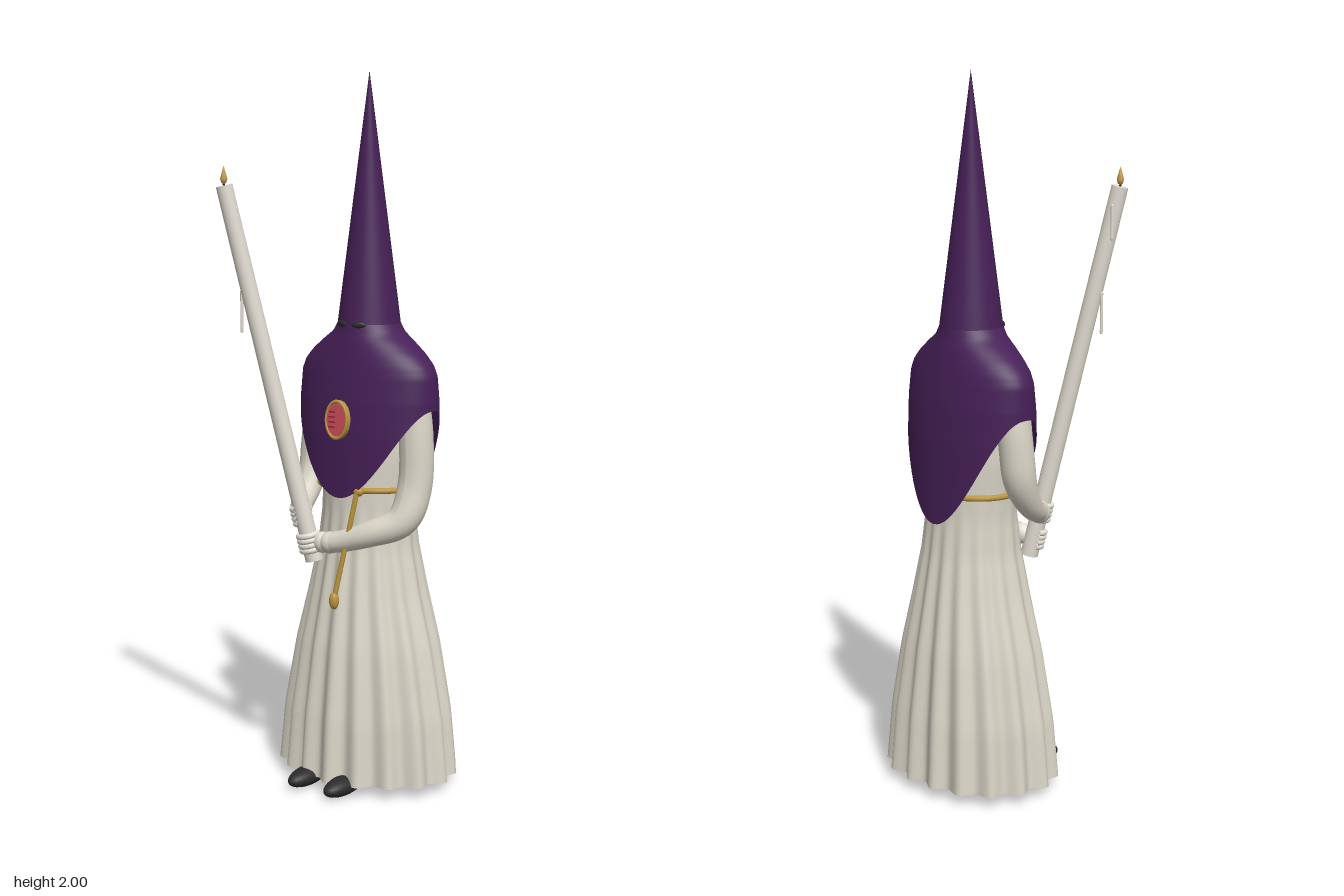
import * as THREE from 'three';

const mat = (name, color, double = false) => {
  const m = new THREE.MeshStandardMaterial({ color });
  m.name = name;
  if (double) m.side = THREE.DoubleSide;
  return m;
};
const V = (x, y, z) => new THREE.Vector3(x, y, z);
const CZ = -0.055; // depth of the body axis

// Closed loft around the body axis: fn(angle, row) gives [x, y, z], rows run upwards
function loft(cols, rows, fn) {
  const pos = [], idx = [];
  for (let j = 0; j <= rows; j++) {
    for (let i = 0; i < cols; i++) pos.push(...fn((i / cols) * Math.PI * 2, j / rows));
  }
  for (let j = 0; j < rows; j++) {
    for (let i = 0; i < cols; i++) {
      const k = (i + 1) % cols;
      const a = j * cols + i, b = j * cols + k, c = b + cols, d = a + cols;
      idx.push(a, b, c, a, c, d);
    }
  }
  const g = new THREE.BufferGeometry();
  g.setAttribute('position', new THREE.Float32BufferAttribute(pos, 3));
  g.setIndex(idx);
  g.computeVertexNormals();
  return g;
}

// Linear lookup in a table of [y, rx, rz], ordered upwards
function profile(table, y) {
  let n = 1;
  while (n < table.length - 1 && table[n][0] < y) n++;
  const [a, b] = [table[n - 1], table[n]];
  const t = THREE.MathUtils.clamp((y - a[0]) / (b[0] - a[0]), 0, 1);
  return [a[1] + (b[1] - a[1]) * t, a[2] + (b[2] - a[2]) * t];
}

// Tube whose radius follows a rule along its length
function taperTube(points, radius, steps = 40, sides = 20) {
  const curve = new THREE.CatmullRomCurve3(points);
  const g = new THREE.TubeGeometry(curve, steps, 1, sides);
  const p = g.attributes.position, v = V(0, 0, 0);
  for (let i = 0; i < p.count; i++) {
    const t = Math.floor(i / (sides + 1)) / steps;
    const c = curve.getPointAt(t);
    v.fromBufferAttribute(p, i).sub(c).multiplyScalar(radius(t)).add(c);
    p.setXYZ(i, v.x, v.y, v.z);
  }
  g.computeVertexNormals();
  return g;
}

export function createModel() {
  const root = new THREE.Group();
  root.name = 'hoodedFigure';
  const cloth = mat('robeCloth', 0xd9d4c6, true);
  const purple = mat('purpleCloth', 0x472058, true);
  const wax = mat('wax', 0xe2ddd2);
  const glove = mat('gloveWhite', 0xe4e0d6);
  const gold = mat('goldCord', 0xb9953f);
  const black = mat('black', 0x2b2b2d);
  const red = mat('red', 0xd2505c);
  const darkRed = mat('darkRed', 0x8e2636);
  const flameTan = mat('flame', 0xc99a4e);

  const add = (name, geo, material, at = [0, 0, 0], scale = [1, 1, 1], parent = root) => {
    const m = new THREE.Mesh(geo, material);
    m.name = name;
    m.position.set(...at);
    m.scale.set(...scale);
    parent.add(m);
    return m;
  };
  const ball = new THREE.SphereGeometry(1, 28, 18);

  // Robe with flutes that deepen towards the hem
  const robe = [[0.03, 0.266, 0.207], [0.2, 0.25, 0.197], [0.4, 0.212, 0.176], [0.55, 0.173, 0.153],
    [0.68, 0.146, 0.132], [0.78, 0.138, 0.12], [0.85, 0.14, 0.116], [0.95, 0.15, 0.112], [1.18, 0.15, 0.09]];
  add('robe', loft(180, 46, (a, v) => {
    const y = 0.03 + v * 1.15;
    const [rx, rz] = profile(robe, y);
    const depth = 0.0125 * Math.pow(Math.max(0, 1 - (y - 0.03) / 0.8), 0.8);
    const w = depth * (Math.sin(17 * a + 0.8 * Math.sin(2 * a)) + 0.3 * Math.sin(5 * a + 1));
    return [(rx + w) * Math.sin(a), y, CZ + (rz + w) * Math.cos(a)];
  }), cloth);

  // Pointed hood
  const hood = [[0.75, 0.225, 0.138], [1.0, 0.228, 0.134], [1.1, 0.229, 0.126], [1.17, 0.225, 0.115],
    [1.2, 0.212, 0.11], [1.23, 0.183, 0.104], [1.26, 0.143, 0.098], [1.285, 0.106, 0.092], [1.31, 0.088, 0.088]];
  add('hoodCone', new THREE.ConeGeometry(0.088, 0.69, 64, 1, true), purple, [0, 1.655, CZ]);

  // Cape, cut to a point at the front and back and high over the arms
  add('hoodCape', loft(96, 44, (a, v) => {
    const c = Math.cos(a);
    const hem = 1.08 - (c > 0 ? 0.25 : 0.31) * Math.pow(Math.abs(c), 2.6);
    const y = v < 0.5 ? hem + (1.12 - hem) * v * 2 : 1.12 + 0.19 * (v - 0.5) * 2;
    const [rx, rz] = profile(hood, y);
    return [rx * Math.sin(a), y, CZ + rz * c];
  }), purple);

  // Eye openings
  for (const s of [-1, 1]) {
    const eye = add('eye', ball, black, [s * 0.031, 1.31, 0.029], [0.021, 0.009, 0.006]);
    eye.rotation.y = s * 0.36;
  }

  // Oval badge on the chest
  const badge = new THREE.Group();
  badge.name = 'chestBadge';
  badge.position.set(0, 1.05, 0.083);
  badge.rotation.x = -0.06;
  root.add(badge);
  const disc = new THREE.CylinderGeometry(1, 1, 1, 40).rotateX(Math.PI / 2);
  add('badgeBack', disc, gold, [0, 0, -0.002], [0.04, 0.054, 0.012], badge);
  add('badgeFace', disc, red, [0, 0, 0.005], [0.033, 0.046, 0.004], badge);
  add('badgeRim', new THREE.TorusGeometry(1, 0.1, 10, 40), gold, [0, 0, 0.005], [0.037, 0.051, 0.04], badge);
  const bar = new THREE.BoxGeometry(1, 1, 1);
  for (let i = 0; i < 4; i++) {
    add('badgeBar', bar, darkRed, [-0.014, 0.021 - i * 0.014, 0.007], [0.022, 0.004, 0.003], badge);
  }

  // Sleeves
  const left = [V(0.155, 1.15, -0.045), V(0.176, 1.0, -0.045), V(0.178, 0.86, -0.035), V(0.163, 0.775, 0.0),
    V(0.09, 0.735, 0.055), V(0.01, 0.708, 0.082), V(-0.022, 0.702, 0.09)];
  const right = [V(-0.155, 1.15, -0.045), V(-0.176, 1.0, -0.045), V(-0.18, 0.89, -0.03),
    V(-0.168, 0.815, 0.02), V(-0.145, 0.787, 0.07)];
  const sleeveRadius = t => 0.048 - 0.018 * THREE.MathUtils.smoothstep(t, 0.5, 1);
  for (const [side, pts] of [['left', left], ['right', right]]) {
    add(side + 'Sleeve', taperTube(pts, sleeveRadius), cloth);
    add(side + 'Cuff', ball, cloth, pts[pts.length - 1].toArray(), [0.031, 0.031, 0.031]);
  }

  // Long candle, leaning forwards and outwards
  const base = V(-0.076, 0.645, 0.095), tip = V(-0.262, 1.69, 0.25);
  const dir = tip.clone().sub(base);
  const length = dir.length();
  dir.normalize();
  const candle = new THREE.Group();
  candle.name = 'candle';
  candle.position.copy(base);
  candle.quaternion.setFromUnitVectors(V(0, 1, 0), dir);
  root.add(candle);
  add('candleStick', new THREE.CylinderGeometry(0.023, 0.025, length, 32), wax, [0, length / 2, 0], [1, 1, 1], candle);
  add('wick', new THREE.CylinderGeometry(0.003, 0.003, 0.02, 8), black, [0, length + 0.008, 0], [1, 1, 1], candle);
  const flame = [[0, 0], [0.007, 0.006], [0.01, 0.016], [0.006, 0.032], [0, 0.052]].map(p => new THREE.Vector2(...p));
  add('flame', new THREE.LatheGeometry(flame, 20), flameTan, [-0.262, 1.692, 0.251]);

  // Wax drips hanging straight down from the stick
  for (const [x, y, z, h] of [[-0.262, 1.595, 0.222, 0.09], [-0.233, 1.345, 0.215, 0.11], [-0.23, 1.59, 0.235, 0.08]]) {
    add('waxDrip', new THREE.CapsuleGeometry(0.0042, h, 4, 10), wax, [x, y, z]);
  }

  // Gloved hands with fingers wrapped around the candle
  for (const [side, t, palm] of [['right', 0.125, [-0.127, 0.784, 0.088]], ['left', 0.05, [-0.045, 0.7, 0.095]]]) {
    add(side + 'Palm', ball, glove, palm, [0.03, 0.03, 0.026]);
    for (let i = 0; i < 4; i++) {
      const finger = add(side + 'Finger', new THREE.TorusGeometry(0.027, 0.0085, 10, 24, Math.PI * 1.25), glove,
        [0, length * t + (i - 1.5) * 0.014, 0], [1, 1, 1], candle);
      finger.rotation.set(Math.PI / 2, 0, side === 'left' ? -0.5 : Math.PI / 2);
    }
  }

  // Waist cord, hanging end and tassel
  const ring = [];
  for (let i = 0; i < 32; i++) {
    const a = (i / 32) * Math.PI * 2;
    ring.push(V(0.147 * Math.sin(a), 0.855, CZ + 0.125 * Math.cos(a)));
  }
  add('waistCord', new THREE.TubeGeometry(new THREE.CatmullRomCurve3(ring, true), 80, 0.0085, 10, true), gold);
  add('cordKnot', ball, gold, [0.06, 0.853, 0.066], [0.016, 0.014, 0.013]);
  const hang = new THREE.CatmullRomCurve3([V(0.06, 0.85, 0.072), V(0.045, 0.75, 0.086), V(0.026, 0.64, 0.1), V(0.014, 0.56, 0.112)]);
  add('hangingCord', new THREE.TubeGeometry(hang, 30, 0.0075, 10), gold);
  add('tassel', ball, gold, [0.012, 0.545, 0.113], [0.014, 0.025, 0.014]);

  // Shoes
  for (const s of [-1, 1]) {
    add('shoe', ball, black, [s * 0.066, 0.032, 0.137], [0.035, 0.027, 0.077]).rotation.x = 0.06;
  }

  // Rest the shoes on the ground
  root.updateMatrixWorld(true);
  const low = new THREE.Box3().setFromObject(root, true).min.y;
  root.children.filter(c => c.name === 'shoe').forEach(c => { c.position.y -= low; });
  return root;
}
